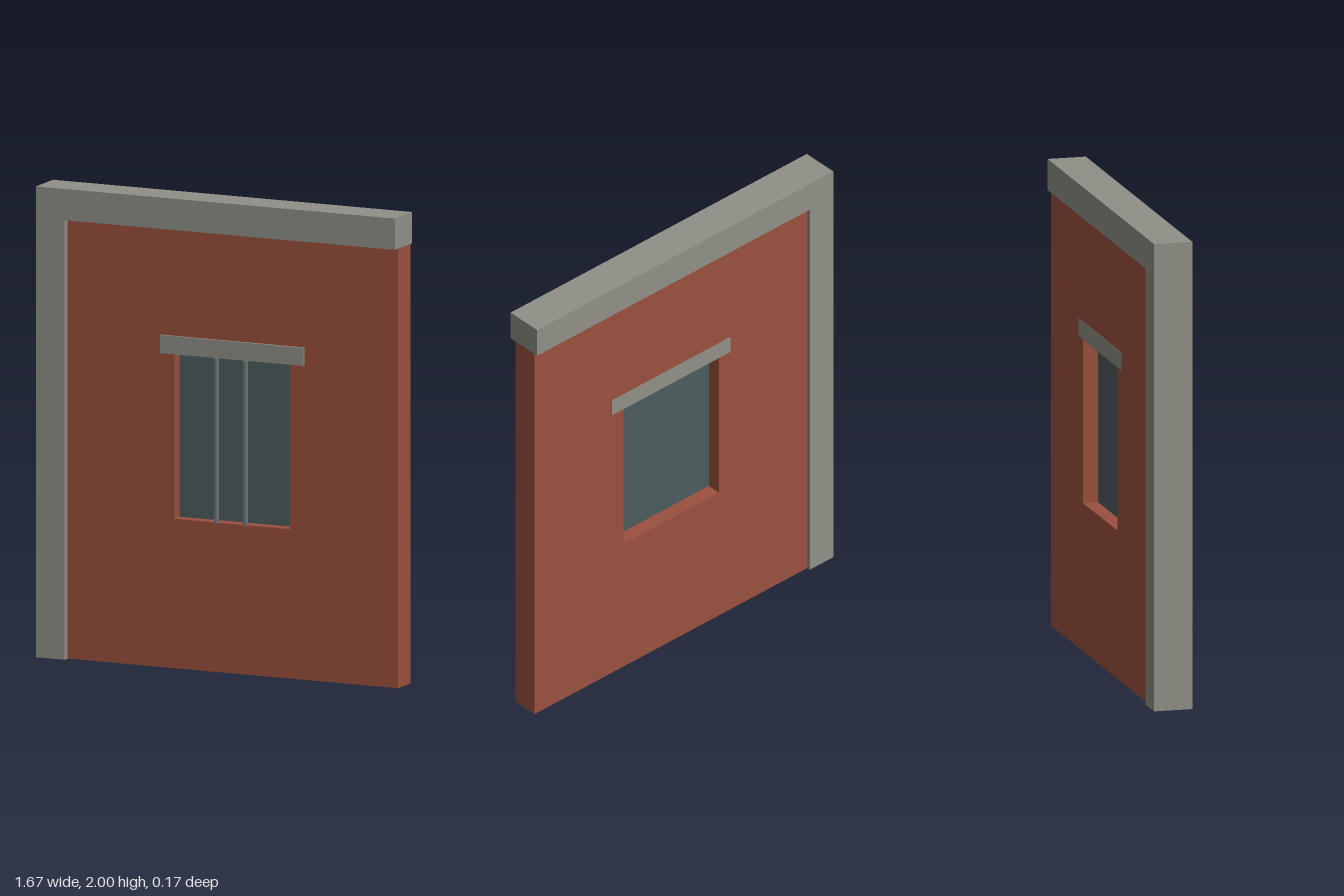
import * as THREE from 'three';

const mat = (name, color) => {
  const m = new THREE.MeshStandardMaterial({ color });
  m.name = name;
  return m;
};

export function createModel() {
  const concrete = mat('concrete', 0x909087);
  const brick = mat('brick', 0x9a503d);
  const glass = mat('glass', 0x4c5c5d);
  const metal = mat('metal', 0x6d7376);
  const group = new THREE.Group();
  group.name = 'wallWithWindow';

  const add = (name, geometry, material) => {
    const mesh = new THREE.Mesh(geometry, material);
    mesh.name = name;
    group.add(mesh);
    return mesh;
  };
  // Box given by its extents on each axis
  const box = (name, material, [x0, x1], [y0, y1], [z0, z1]) =>
    add(name, new THREE.BoxGeometry(x1 - x0, y1 - y0, z1 - z0), material)
      .position.set((x0 + x1) / 2, (y0 + y1) / 2, (z0 + z1) / 2);
  // Rectangle outline for shapes and holes
  const rect = (x0, x1, y0, y1) => [[x0, y0], [x1, y0], [x1, y1], [x0, y1]]
    .map(([x, y]) => new THREE.Vector2(x, y));

  // Brick wall with the window opening
  const wall = new THREE.Shape(rect(-0.7, 0.833, 0, 1.867));
  wall.holes.push(new THREE.Path(rect(-0.205, 0.333, 0.635, 1.335)));
  add('wall', new THREE.ExtrudeGeometry(wall, { depth: 0.12, bevelEnabled: false }), brick)
    .position.z = -0.067;

  // Concrete column and top beam in one L-shaped frame
  const frame = new THREE.Shape([
    [-0.833, 0], [-0.7, 0], [-0.7, 1.867], [0.833, 1.867], [0.833, 2], [-0.833, 2],
  ].map(([x, y]) => new THREE.Vector2(x, y)));
  add('frame', new THREE.ExtrudeGeometry(frame, { depth: 0.166, bevelEnabled: false }), concrete)
    .position.z = -0.083;

  // Lintel, pane and the two upright bars
  box('lintel', concrete, [-0.267, 0.4], [1.335, 1.412], [-0.068, 0.064]);
  box('windowPane', glass, [-0.205, 0.333], [0.635, 1.335], [-0.002, 0.002]);
  for (const x of [-0.002, 0.132]) {
    box('windowBar', metal, [x - 0.0065, x + 0.0065], [0.635, 1.335], [0.055, 0.079]);
  }
  return group;
}
